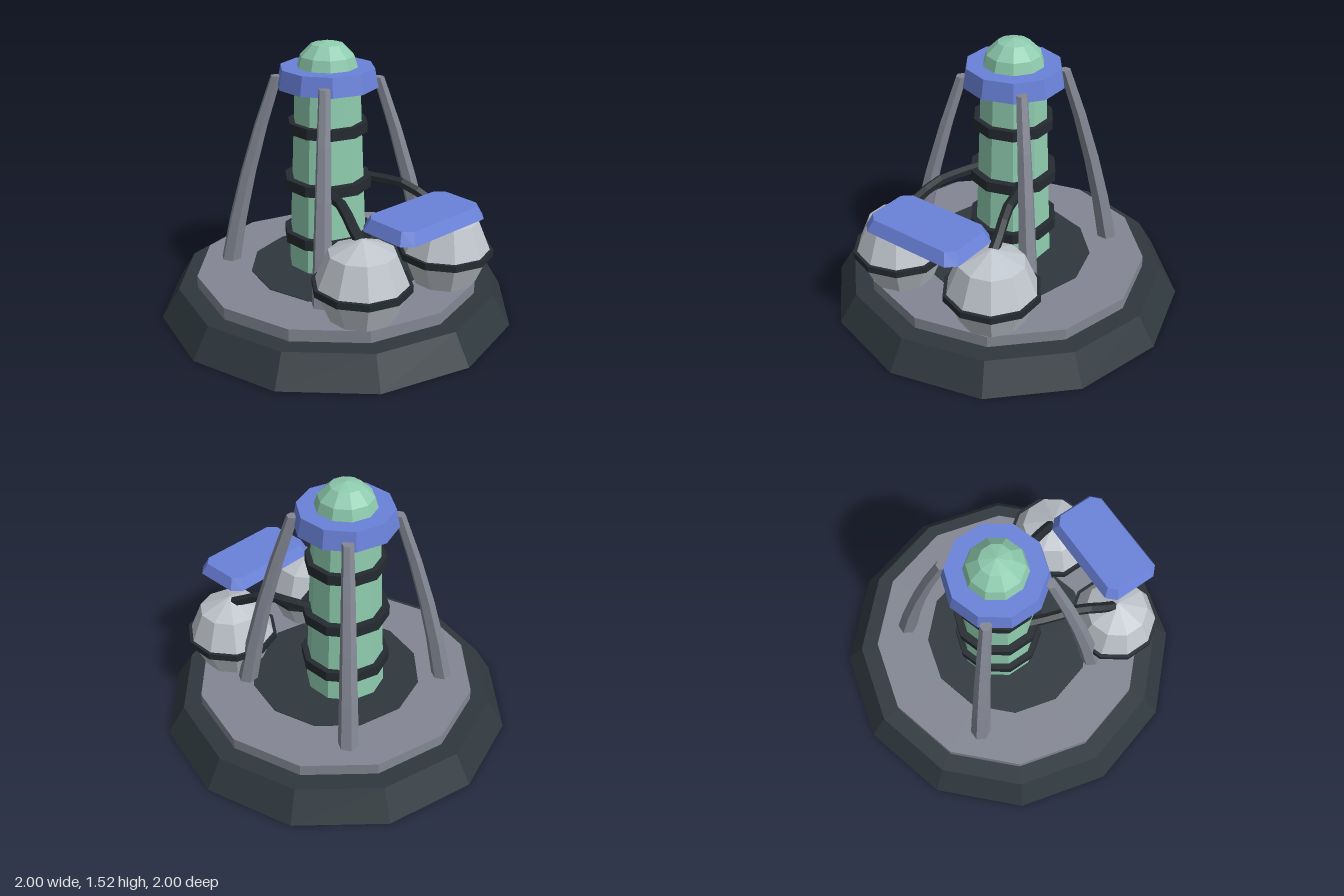
import * as THREE from 'three';

const mat = (name, color) => {
  const m = new THREE.MeshStandardMaterial({ color, flatShading: true });
  m.name = name;
  return m;
};

export function createModel() {
  const group = new THREE.Group();
  const charcoal = mat('charcoal', 0x2f383e);
  const black = mat('black rubber', 0x242b30);
  const steel = mat('steel grey', 0x838793);
  const green = mat('pale green', 0x8ecbae);
  const blue = mat('blue', 0x6a82da);
  const silver = mat('light grey', 0xbec4cb);

  const add = (name, geometry, material, x = 0, y = 0, z = 0) => {
    const mesh = new THREE.Mesh(geometry, material);
    mesh.name = name;
    mesh.position.set(x, y, z);
    group.add(mesh);
    return mesh;
  };

  // Upright prism from y0 to y1 with a corner on the x axis
  const prism = (name, rBottom, rTop, y0, y1, sides, material, x = 0, z = 0) =>
    add(name, new THREE.CylinderGeometry(rTop, rBottom, y1 - y0, sides, 1, false, Math.PI / 2),
      material, x, (y0 + y1) / 2, z);

  // Stepped platform
  prism('base', 1, 0.9, 0, 0.165, 12, charcoal);
  prism('deck', 0.795, 0.795, 0.165, 0.232, 12, steel);
  prism('deckCentre', 0.49, 0.49, 0.2, 0.236, 12, charcoal);

  // Tower with dome, collar and bands
  const cx = -0.075;
  prism('tower', 0.225, 0.18, 0.22, 1.34, 10, green, cx);
  const domeProfile = [[0.18, 1.33], [0.15, 1.435], [0.087, 1.497], [0, 1.517]]
    .map(([r, y]) => new THREE.Vector2(r, y));
  add('dome', new THREE.LatheGeometry(domeProfile, 10, Math.PI / 2), green, cx);
  prism('collar', 0.28, 0.26, 1.27, 1.375, 10, blue, cx);
  for (const [y, r] of [[0.415, 0.25], [0.73, 0.245], [1.048, 0.222]]) {
    prism('towerBand', r, r, y - 0.03, y + 0.03, 10, black, cx);
  }

  // Four tapered, slightly bowed legs
  const legBottom = 0.21, legTop = 1.32, legHeight = legTop - legBottom;
  for (const sx of [-1, 1]) {
    for (const sz of [-1, 1]) {
      const geo = new THREE.CylinderGeometry(0.032, 0.058, legHeight, 6, 4);
      const p = geo.attributes.position;
      for (let i = 0; i < p.count; i++) {
        const t = p.getY(i) / legHeight + 0.5;
        const out = 0.4 - 0.205 * t + 0.07 * t * (1 - t);
        p.setX(i, p.getX(i) + sx * out);
        p.setZ(i, p.getZ(i) + sz * out);
      }
      geo.computeVertexNormals();
      add('leg', geo, steel, cx, (legBottom + legTop) / 2, 0);
    }
  }

  // Pair of round tanks with belts and feed pipes
  for (const s of [-1, 1]) {
    const tx = 0.535, tz = s * 0.315;
    add('tank', new THREE.SphereGeometry(0.25, 10, 4), silver, tx, 0.41, tz);
    prism('tankBelt', 0.263, 0.263, 0.388, 0.425, 10, black, tx, tz);
    const path = new THREE.CatmullRomCurve3([
      new THREE.Vector3(0.02, 0.745, s * 0.14),
      new THREE.Vector3(0.16, 0.745, s * 0.195),
      new THREE.Vector3(0.3, 0.74, s * 0.235),
      new THREE.Vector3(0.42, 0.68, s * 0.28),
      new THREE.Vector3(0.52, 0.625, s * 0.31),
    ]);
    add('feedPipe', new THREE.TubeGeometry(path, 6, 0.03, 6), black);
  }

  // Bevelled panel with cut corners above the tanks
  const w = 0.177, d = 0.307, c = 0.05, thick = 0.065, inset = 0.03;
  const outline = new THREE.Shape([
    [w - c, -d], [w, c - d], [w, d - c], [w - c, d],
    [c - w, d], [-w, d - c], [-w, c - d], [c - w, -d],
  ].map(([x, y]) => new THREE.Vector2(x, y)));
  const panel = new THREE.ExtrudeGeometry(outline, { depth: thick, bevelEnabled: false });
  const pp = panel.attributes.position;
  for (let i = 0; i < pp.count; i++) {
    if (pp.getZ(i) > thick / 2) {
      pp.setX(i, pp.getX(i) * (1 - inset / w));
      pp.setY(i, pp.getY(i) * (1 - inset / d));
    }
  }
  panel.rotateX(-Math.PI / 2);
  panel.computeVertexNormals();
  add('panel', panel, blue, 0.658, 0.695, 0);

  return group;
}
